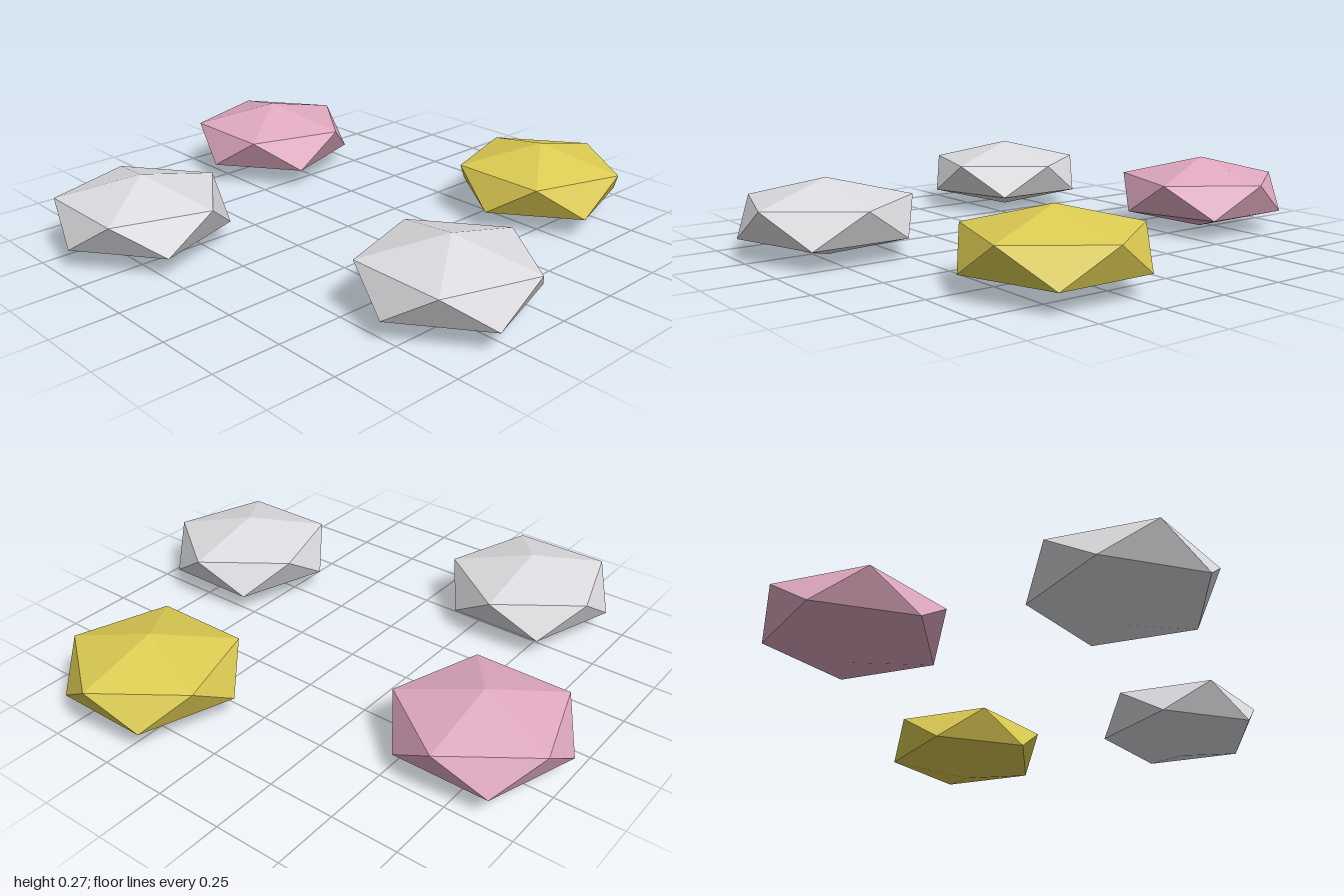
import * as THREE from 'three';

const material = (name, color) => {
  const m = new THREE.MeshStandardMaterial({ color });
  m.name = name;
  return m;
};

export function createModel() {
  const group = new THREE.Group();
  group.name = 'pebbles';

  const white = material('white', 0xdcdce0);
  const pink = material('pink', 0xe0a9c0);
  const yellow = material('yellow', 0xdccb52);

  // Squashed icosahedron: one corner straight up, an upper ring corner towards +x
  const golden = (1 + Math.sqrt(5)) / 2;
  const pebble = new THREE.IcosahedronGeometry(1, 0);
  pebble.rotateZ(-Math.atan(1 / golden));
  pebble.scale(0.345, 0.1375, 0.345);
  pebble.translate(0, 0.1375, 0);

  // Four pebbles in a tilted rectangle
  const pebbles = [
    ['whitePebbleBack', white, -0.65, -0.38],
    ['whitePebbleFront', white, -0.217, 0.705],
    ['pinkPebble', pink, 0.217, -0.705],
    ['yellowPebble', yellow, 0.65, 0.38],
  ];
  for (const [name, mat, x, z] of pebbles) {
    const mesh = new THREE.Mesh(pebble, mat);
    mesh.name = name;
    mesh.position.set(x, 0, z);
    group.add(mesh);
  }
  return group;
}
